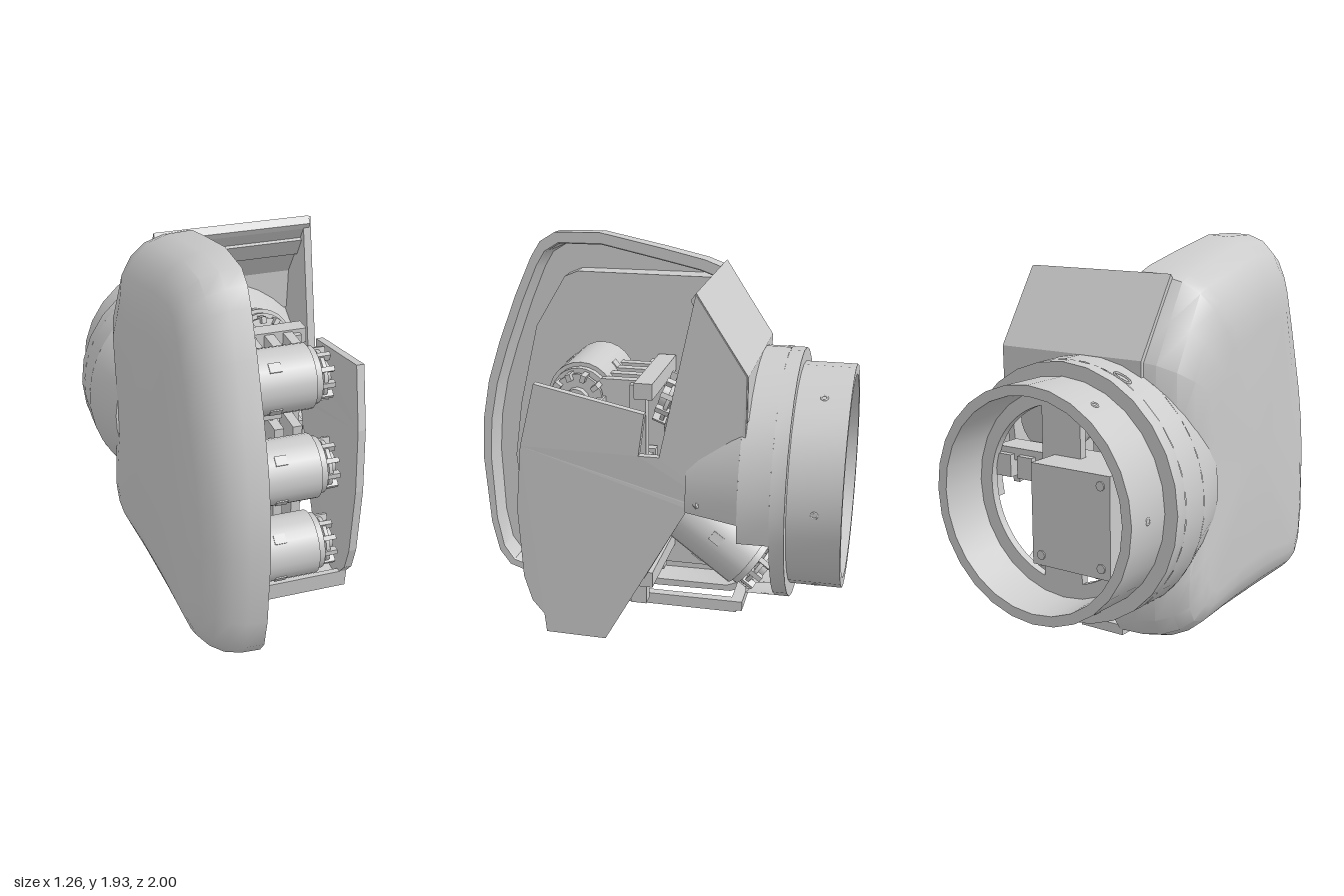
import * as THREE from 'three';
import { toCreasedNormals } from 'three/addons/utils/BufferGeometryUtils.js';

const mat = new THREE.MeshStandardMaterial({ color: 0xcccccc, side: THREE.DoubleSide });
const deg = Math.PI / 180;
const WRIST_Y = 0.79;

function add(parent, name, geo, x = 0, y = 0, z = 0) {
  const m = new THREE.Mesh(geo, mat);
  m.name = name;
  m.position.set(x, y, z);
  parent.add(m);
  return m;
}

// box given by its min and max corners
function box(parent, name, x0, x1, y0, y1, z0, z1) {
  return add(parent, name, new THREE.BoxGeometry(x1 - x0, y1 - y0, z1 - z0),
    (x0 + x1) / 2, (y0 + y1) / 2, (z0 + z1) / 2);
}

// slab cut from a (z, y) outline, spanning x0..x1
function slab(parent, name, pts, x0, x1) {
  const shape = new THREE.Shape(pts.map(p => new THREE.Vector2(p[0], p[1])));
  const geo = new THREE.ExtrudeGeometry(shape, { depth: x1 - x0, bevelEnabled: false });
  geo.rotateY(-Math.PI / 2);
  geo.translate(x1, 0, 0);
  return add(parent, name, geo);
}

// palm outline (z, y): up the front edge, over the top, down the back, along the base
const outline = [
  [1.0, 0.68], [0.99, 0.9], [0.95, 1.12], [0.88, 1.34], [0.78, 1.6], [0.69, 1.8], [0.64, 1.88],
  [0.56, 1.93], [0.32, 1.935], [0, 1.87], [-0.22, 1.82], [-0.3, 1.79], [-0.42, 1.61], [-0.54, 1.42],
  [-0.55, 1.1], [-0.55, 0.7], [-0.55, 0.3], [-0.54, 0.15], [-0.48, 0.06], [-0.38, 0.02], [0, 0.015],
  [0.4, 0.015], [0.78, 0.02], [0.87, 0.05], [0.93, 0.13], [0.97, 0.3]
];

// hollow rounded palm shell: groove floor, rim, outer skin, back
function shellGeometry() {
  const c = [0.2, 0.9];
  // [depth fraction, inset]
  const rings = [[0.35, 9], [0.35, 0.065], [0.02, 0.05], [0, 0.045], [0, 0], [0.3, 0.005], [0.55, 0.03],
    [0.75, 0.08], [0.9, 0.15], [0.98, 0.25], [1, 0.34], [1, 9]];
  const pos = [], idx = [], n = outline.length;
  for (const [t, inset] of rings) {
    for (const [z, y] of outline) {
      const dz = c[0] - z, dy = c[1] - y, len = Math.hypot(dz, dy);
      // rounder toward the top
      const k = Math.min(1, inset * (0.85 + 0.2 * y) / len);
      const pz = z + dz * k, py = y + dy * k;
      const depth = 0.42 - 0.1 * (pz + 0.4) / 1.3;
      pos.push(-0.125 - t * depth, py, pz);
    }
  }
  for (let r = 0; r < rings.length - 1; r++) {
    for (let i = 0; i < n; i++) {
      const j = (i + 1) % n, a = r * n + i, b = r * n + j;
      idx.push(a, b, a + n, b, b + n, a + n);
    }
  }
  const g = new THREE.BufferGeometry();
  g.setAttribute('position', new THREE.Float32BufferAttribute(pos, 3));
  g.setIndex(idx);
  return toCreasedNormals(g, 0.55);
}

// lathe about the wrist axis; profile is [radius, z], angle 0 points down and 90 to +x
function wristLathe(parent, name, profile, start = 0, sweep = 360, segments = 28) {
  const pts = profile.map(p => new THREE.Vector2(p[0], p[1]));
  const g = new THREE.LatheGeometry(pts, segments, start * deg, sweep * deg);
  g.rotateX(Math.PI / 2);
  return add(parent, name, toCreasedNormals(g, 0.5), 0, WRIST_Y, 0);
}

function xCylinder(parent, name, r, x0, x1, segments = 24) {
  const g = new THREE.CylinderGeometry(r, r, x1 - x0, segments);
  g.rotateZ(-Math.PI / 2);
  return add(parent, name, g, (x0 + x1) / 2, 0, 0);
}

// finger motor lying along x, body centred on its origin
function motor(parent, name, x, y, z) {
  const g = new THREE.Group();
  g.name = name;
  g.position.set(x, y, z);
  xCylinder(g, 'motorBody', 0.165, -0.21, 0.2);
  xCylinder(g, 'motorCollar', 0.145, 0.2, 0.235);
  xCylinder(g, 'gearHub', 0.06, 0.235, 0.31, 12);
  xCylinder(g, 'gearPlate', 0.125, 0.25, 0.27, 16);
  for (let i = 0; i < 10; i++) {
    const a = i * 36 * deg;
    const tooth = add(g, 'gearTooth', new THREE.BoxGeometry(0.07, 0.025, 0.035),
      0.27, 0.115 * Math.sin(a), 0.115 * Math.cos(a));
    tooth.rotation.x = -a;
  }
  for (const a of [50, -38, 140, 230]) {
    const w = add(g, 'motorWindow', new THREE.BoxGeometry(0.06, 0.05, 0.012),
      0, 0.163 * Math.sin(a * deg), 0.163 * Math.cos(a * deg));
    w.rotation.x = -a * deg;
  }
  parent.add(g);
  return g;
}

export function createModel() {
  const model = new THREE.Group();
  model.name = 'palmAssembly';

  // palm shell and its raised inner plate
  add(model, 'palmShell', shellGeometry());
  slab(model, 'innerPlate', [[0.82, 0.7], [0.78, 1.0], [0.68, 1.43], [0.52, 1.7], [0.45, 1.73],
    [-0.28, 1.73], [-0.48, 1.4], [-0.49, 0.15], [0.74, 0.15], [0.77, 0.2]], -0.29, -0.15);

  // side plate, leaning in slightly toward the bottom
  const side = slab(model, 'sidePlate', [[0.48, 1.32], [0.56, 1.0], [0.59, 0.67], [0.57, 0.3], [0.53, 0.17],
    [0.47, 0.1], [0.46, 0], [0.15, 0], [-0.27, 0.75], [-0.4, 0.74], [-0.5, 0.72], [-0.54, 1.15],
    [-0.54, 1.42], [-0.3, 1.79], [-0.13, 1.0], [-0.03, 1.0], [-0.06, 1.21]], 0.49, 0.53);
  const p = side.geometry.attributes.position;
  for (let i = 0; i < p.count; i++) {
    p.setX(i, p.getX(i) - 0.03 * Math.max(0, 1 - p.getY(i) / 1.3) - 0.02 * Math.max(0, p.getZ(i)));
  }
  side.geometry.computeVertexNormals();
  // stiffening wall along the slanted rear edge of the side plate
  slab(model, 'sidePlateWall', [[-0.05, 0.35], [-0.27, 0.75], [-0.22, 0.75], [0, 0.35]], 0.42, 0.49);

  // bridge over the top back, with a rib on its inner face
  slab(model, 'topBridge', [[-0.3, 1.795], [-0.42, 1.61], [-0.545, 1.42], [-0.545, 1.2], [-0.5, 1.2],
    [-0.49, 1.42], [-0.37, 1.6], [-0.29, 1.73], [-0.275, 1.76]], -0.3, 0.52);
  slab(model, 'bridgeRib', [[-0.36, 1.68], [-0.43, 1.57], [-0.37, 1.56], [-0.31, 1.66]], -0.14, 0.5);

  // base strap under the motors, and the open floor frame behind it
  slab(model, 'baseStrap', [[0.46, 0], [0.47, 0.1], [0.44, 0.1], [0.42, 0.05], [0.16, 0.05], [0.15, 0]],
    -0.14, 0.49);
  box(model, 'floorRail', 0.06, 0.11, 0.02, 0.08, -0.45, 0.18);
  box(model, 'floorRearBar', -0.14, 0.11, 0.03, 0.08, -0.48, -0.42);

  // wrist: narrow collar, wide band open beside the thumb, flare into the palm
  wristLathe(model, 'wristCollar', [[0.56, -0.995], [0.56, -0.72], [0.5, -0.72], [0.51, -0.995], [0.56, -0.995]]);
  wristLathe(model, 'wristStep', [[0.5, -0.74], [0.628, -0.74], [0.628, -0.67], [0.57, -0.67], [0.5, -0.74]]);
  wristLathe(model, 'wristBand', [[0.628, -0.67], [0.63, -0.52], [0.58, -0.52], [0.57, -0.67]], 76, 310);
  wristLathe(model, 'wristFlare', [[0.63, -0.52], [0.545, -0.26], [0.51, -0.27], [0.58, -0.52]], 85, 255);
  for (let i = 0; i < 6; i++) {
    const a = i * 60 * deg;
    const s = add(model, 'wristScrew', new THREE.TorusGeometry(0.015, 0.005, 6, 12),
      0.557 * Math.cos(a), WRIST_Y + 0.557 * Math.sin(a), -0.87);
    s.rotation.set(0, Math.PI / 2, a, 'ZYX');
  }
  const slot = add(model, 'bandSlot', new THREE.TorusGeometry(0.045, 0.007, 6, 16), -0.27, 1.357, -0.65);
  slot.rotation.set(Math.PI / 2, 0.45, 0);
  slot.scale.y = 0.5;
  const star = add(model, 'sideBoss', new THREE.ConeGeometry(0.05, 0.07, 5), 0.55, 0.79, -0.32);
  star.rotation.z = -Math.PI / 2;

  // flange inside the wrist, with two large windows
  const flange = new THREE.Shape().absarc(0, 0, 0.53, 0, Math.PI * 2);
  for (const [a0, a1] of [[-75, 75], [105, 255]]) {
    flange.holes.push(new THREE.Path().absarc(0, 0, 0.43, a0 * deg, a1 * deg));
  }
  add(model, 'wristFlange', new THREE.ExtrudeGeometry(flange,
    { depth: 0.04, bevelEnabled: false, curveSegments: 24 }), 0, WRIST_Y, -0.76);

  // control box in the wrist, with screw heads
  box(model, 'controlBox', -0.4, 0.04, 0.5, 0.98, -0.93, -0.6);
  for (const [x, y] of [[-0.35, 0.55], [-0.01, 0.55], [-0.35, 0.93]]) {
    const s = add(model, 'boxScrew', new THREE.CylinderGeometry(0.022, 0.022, 0.01, 12), x, y, -0.932);
    s.rotation.x = Math.PI / 2;
  }
  box(model, 'connectorBar', 0.0, 0.45, 0.9, 0.96, -0.7, -0.55);
  for (const x of [0.12, 0.25, 0.38]) {
    box(model, 'connector', x - 0.045, x + 0.045, 0.82, 0.93, -0.73, -0.62);
  }

  // three finger motors
  motor(model, 'upperMotor', 0.09, 1.21, 0.31);
  motor(model, 'middleMotor', 0.09, 0.76, 0.42);
  motor(model, 'lowerMotor', 0.09, 0.305, 0.43);

  // thumb motor pointing down and back, and the spread motor pointing forward and up
  const axis = new THREE.Vector3(1, 0, 0);
  const thumb = motor(model, 'thumbMotor', 0.2, 0.51, -0.36);
  thumb.quaternion.setFromUnitVectors(axis, new THREE.Vector3(0, -0.6, -0.8));
  const spread = motor(model, 'spreadMotor', 0.23, 1.11, -0.37);
  spread.quaternion.setFromUnitVectors(axis, new THREE.Vector3(0, 0.35, 0.937));
  box(model, 'spreadMount', -0.12, 0.06, 1.1, 1.24, -0.28, -0.13);

  // inner frame carrying the motors, with mounts and pin connectors
  for (const x of [-0.08, 0.33]) box(model, 'framePost', x - 0.035, x + 0.035, 0.15, 1.3, -0.03, 0.05);
  for (const y of [0.3, 0.74, 1.28]) box(model, 'frameBar', -0.14, 0.4, y - 0.04, y + 0.04, -0.07, 0.02);
  for (const y of [0.31, 0.76, 1.21]) {
    for (const x of [0, 0.1, 0.2, 0.3]) box(model, 'motorMount', x - 0.025, x + 0.025, y - 0.06, y + 0.1, 0.0, 0.2);
  }
  for (const y of [1.0, 0.57]) {
    box(model, 'pinBase', 0, 0.16, y + 0.01, y + 0.05, 0.2, 0.34);
    for (const x of [0.04, 0.08, 0.12]) box(model, 'pin', x - 0.008, x + 0.008, y - 0.02, y + 0.02, 0.26, 0.3);
  }
  return model;
}
